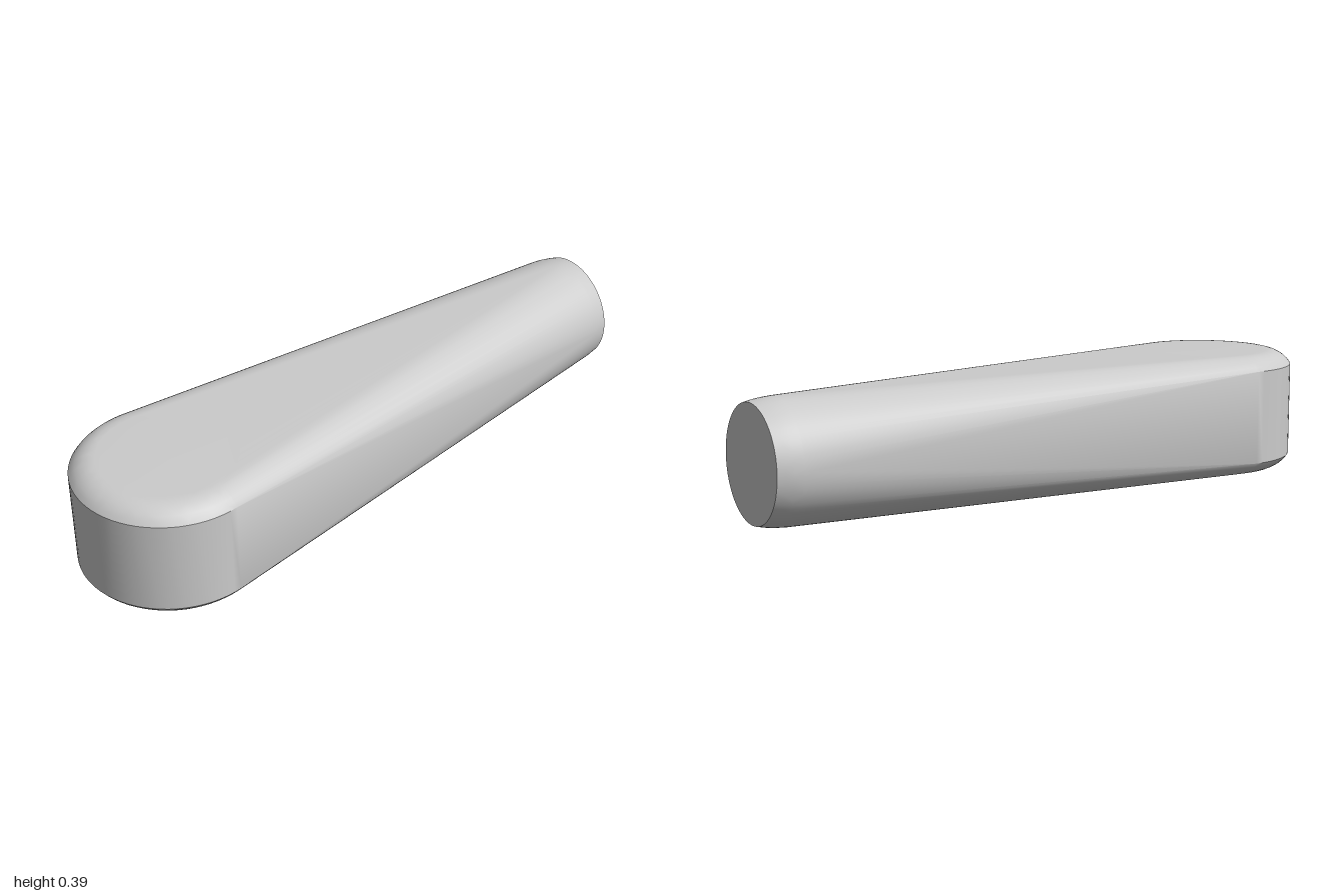
import * as THREE from 'three';
import { ConvexGeometry } from 'three/addons/geometries/ConvexGeometry.js';
import { toCreasedNormals } from 'three/addons/utils/BufferGeometryUtils.js';

const SEGMENTS = 72;
const MID_Y = 0.197;

// Points of a circle; place(a, b) maps its two plane coordinates into space
function ring(radius, place) {
  return Array.from({ length: SEGMENTS }, (_, i) => {
    const t = (i / SEGMENTS) * Math.PI * 2;
    return place(radius * Math.cos(t), radius * Math.sin(t));
  });
}

export function createModel() {
  const group = new THREE.Group();
  group.name = 'leverHandle';
  const points = [];

  // Wide hub: upright disc whose rims end in partial fillets
  const hubRadius = 0.2925, halfHeight = 0.197, fillet = 0.094, sweep = 1.024;
  const steps = 6;
  for (const side of [-1, 1]) {
    for (let i = 0; i <= steps; i++) {
      const a = (sweep * i) / steps;
      const r = hubRadius - fillet * (Math.sin(sweep) - Math.sin(a));
      const y = MID_Y + side * (halfHeight - fillet * (1 - Math.cos(a)));
      points.push(...ring(r, (u, v) => new THREE.Vector3(-0.7075 + u, y, 0.0075 + v)));
    }
  }

  // Round grip end, slightly eased towards its flat face
  const gripRings = [[0.92, 0.19], [0.95, 0.1875], [0.975, 0.1835], [1, 0.178]];
  for (const [x, r] of gripRings) {
    points.push(...ring(r, (u, v) => new THREE.Vector3(x, MID_Y + u, -0.109 + v)));
  }

  // The body is the taut skin stretched over hub and grip
  const geometry = toCreasedNormals(new ConvexGeometry(points), 0.5);
  const body = new THREE.Mesh(geometry, new THREE.MeshStandardMaterial({ color: 0xcccccc }));
  body.name = 'handleBody';
  group.add(body);
  return group;
}
